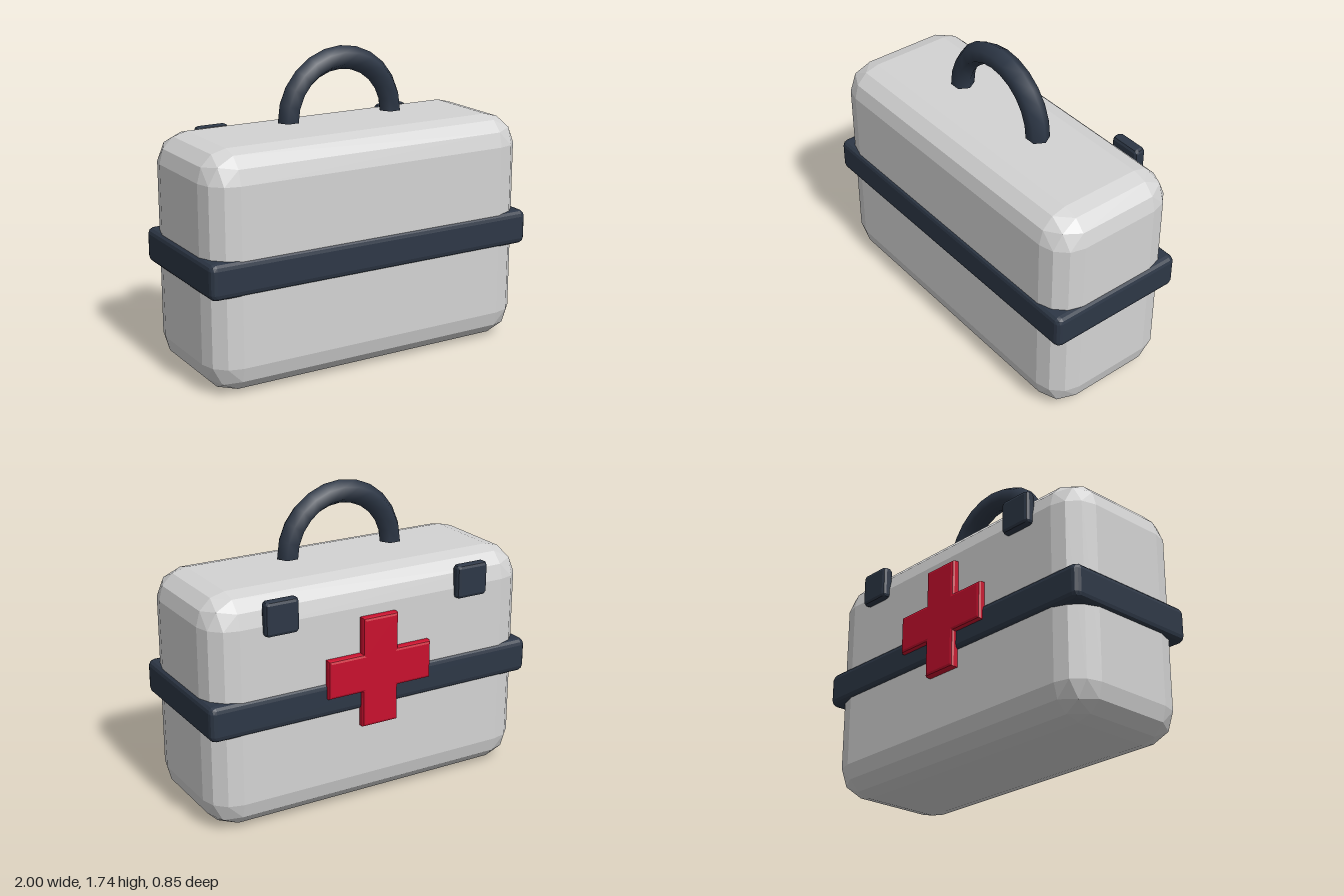
import * as THREE from 'three';
import { ConvexGeometry } from 'three/addons/geometries/ConvexGeometry.js';

// Box with faceted round edges: the hull of eight sphere octants, n steps per edge
function roundedBox(w, h, d, r, n) {
  const points = [];
  const s = (i) => Math.sin((i / n) * Math.PI / 2);
  for (const sx of [-1, 1]) for (const sy of [-1, 1]) for (const sz of [-1, 1]) {
    for (let i = 0; i <= n; i++) for (let j = 0; j <= n - i; j++) {
      const dir = new THREE.Vector3(s(i), s(j), s(n - i - j)).normalize().multiplyScalar(r);
      points.push(new THREE.Vector3(
        sx * (w / 2 - r + dir.x), sy * (h / 2 - r + dir.y), sz * (d / 2 - r + dir.z)));
    }
  }
  return new ConvexGeometry(points);
}

export function createModel() {
  const shell = new THREE.MeshStandardMaterial({ name: 'light grey shell', color: 0xd3d3d3 });
  const dark = new THREE.MeshStandardMaterial({ name: 'dark slate trim', color: 0x2d3746 });
  const red = new THREE.MeshStandardMaterial({ name: 'red cross', color: 0xc8102e });

  const model = new THREE.Group();
  model.name = 'firstAidCase';
  const add = (name, geometry, material, x, y, z, parent = model) => {
    const mesh = new THREE.Mesh(geometry, material);
    mesh.name = name;
    mesh.position.set(x, y, z);
    parent.add(mesh);
    return mesh;
  };
  const midZ = 0.014;

  // Case and the band around its middle
  add('caseBody', roundedBox(1.966, 1.312, 0.796, 0.165, 3), shell, 0, 0.656, midZ);
  add('band', roundedBox(2, 0.198, 0.823, 0.035, 3), dark, 0, 0.66, midZ);

  // Arched carrying handle with a six-sided grip and closed ends
  const handle = new THREE.Group();
  handle.name = 'handle';
  handle.position.set(0, 1.348, midZ);
  model.add(handle);
  add('handleArch', new THREE.TorusGeometry(0.325, 0.065, 6, 12, Math.PI), dark, 0, 0, 0, handle);
  for (const side of [-1, 1]) {
    const cap = add('handleEnd', new THREE.CircleGeometry(0.065, 6), dark, side * 0.325, 0, 0, handle);
    cap.rotation.x = Math.PI / 2;
  }

  // Two latches high on the back
  const latch = roundedBox(0.194, 0.192, 0.065, 0.02, 2);
  for (const side of [-1, 1]) {
    add(side > 0 ? 'leftLatch' : 'rightLatch', latch, dark, side * 0.59, 1.188, -0.394);
  }

  // Raised cross on the back with bevelled rims
  const bevel = 0.016;
  const a = 0.109 - bevel, b = 0.32 - bevel, c = 0.313 - bevel;
  const outline = new THREE.Shape([
    [a, a], [a, c], [-a, c], [-a, a], [-b, a], [-b, -a],
    [-a, -a], [-a, -c], [a, -c], [a, -a], [b, -a], [b, a],
  ].map(([x, y]) => new THREE.Vector2(x, y)));
  const cross = new THREE.ExtrudeGeometry(outline, {
    depth: 0.065 - 2 * bevel, bevelEnabled: true,
    bevelSize: bevel, bevelThickness: bevel, bevelSegments: 2,
  });
  add('cross', cross, red, 0, 0.78, -0.426 + bevel);

  return model;
}
